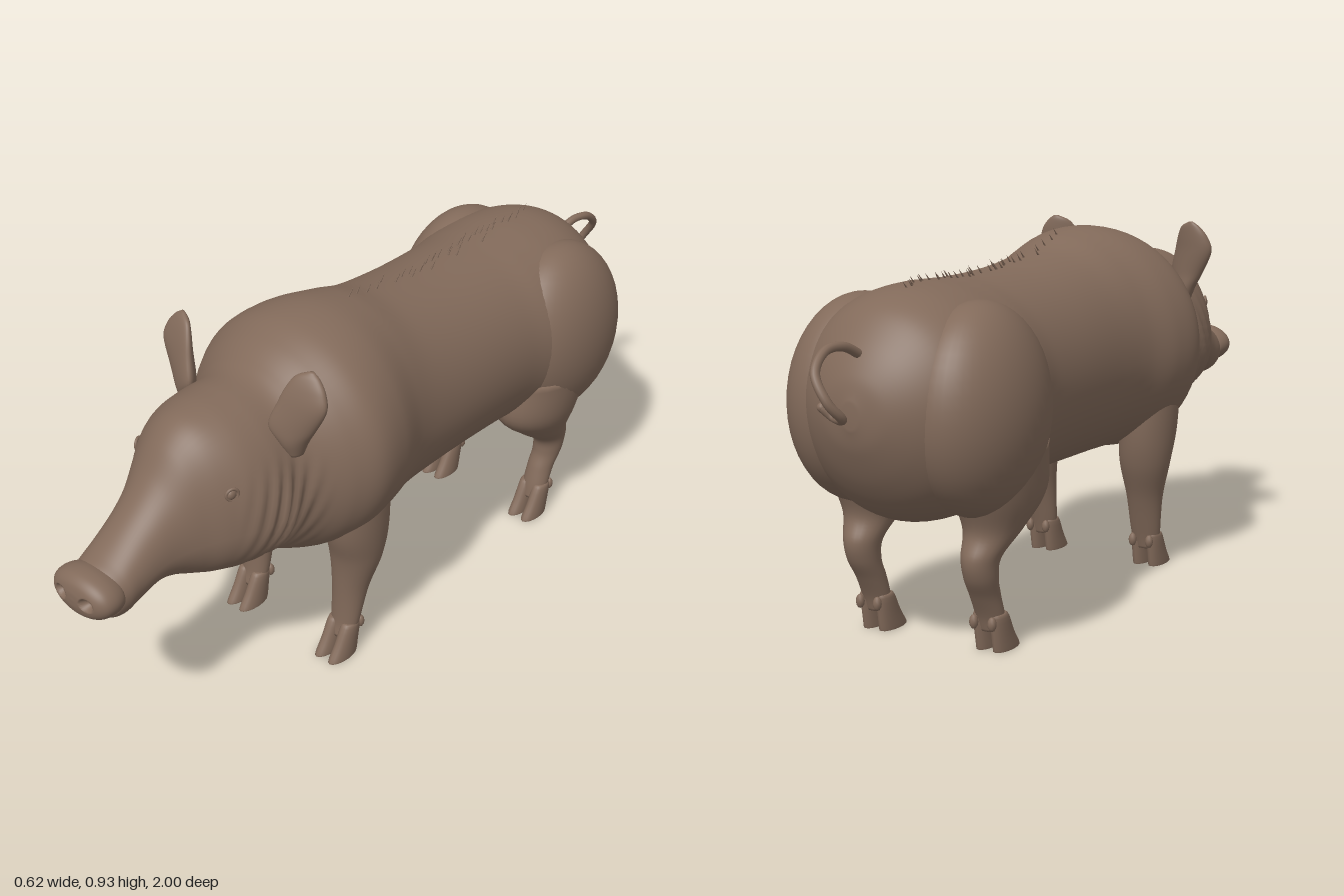
import * as THREE from 'three';

const hide = new THREE.MeshStandardMaterial({ color: 0x826a5a });
hide.name = 'brown hide';

// Smooth skin over elliptical rings. Row: centre x, y, z, then half width,
// and the reach on the plus and minus side of the second axis.
// axis 'z' stacks upright rings front-wards, axis 'y' stacks flat rings downwards.
function loft(rows, axis, steps, sides, rule) {
  const centre = new THREE.CatmullRomCurve3(rows.map(r => new THREE.Vector3(r[0], r[1], r[2])), false, 'catmullrom');
  const radii = new THREE.CatmullRomCurve3(rows.map(r => new THREE.Vector3(r[3], r[4], r[5] ?? r[4])), false, 'catmullrom');
  const pos = [], index = [];
  const add = p => { if (rule) rule(p); pos.push(p.x, p.y, p.z); };
  for (let i = 0; i <= steps; i++) {
    const c = centre.getPoint(i / steps), r = radii.getPoint(i / steps);
    for (let j = 0; j < sides; j++) {
      const a = j / sides * Math.PI * 2, s = Math.sin(a);
      const p = c.clone();
      p.x += r.x * Math.cos(a);
      p[axis === 'z' ? 'y' : 'z'] += s * (s > 0 ? r.y : r.z);
      add(p);
      if (i < steps) {
        const k = (j + 1) % sides, b = i * sides, d = b + sides;
        index.push(b + j, b + k, d + j, b + k, d + k, d + j);
      }
    }
  }
  // end caps
  const n = (steps + 1) * sides;
  add(centre.getPoint(0));
  add(centre.getPoint(1));
  for (let j = 0; j < sides; j++) {
    const k = (j + 1) % sides, b = steps * sides;
    index.push(n, k, j, n + 1, b + j, b + k);
  }
  const g = new THREE.BufferGeometry();
  g.setAttribute('position', new THREE.Float32BufferAttribute(pos, 3));
  g.setIndex(index);
  g.computeVertexNormals();
  return g;
}

function mesh(parent, name, geometry) {
  const m = new THREE.Mesh(geometry, hide);
  m.name = name;
  parent.add(m);
  return m;
}

function ellipsoid(parent, name, x, y, z, rx, ry, rz, detail = 16) {
  const m = mesh(parent, name, new THREE.SphereGeometry(1, detail * 2, detail));
  m.position.set(x, y, z);
  m.scale.set(rx, ry, rz);
  return m;
}

// Cloven hoof with two toes and two dewclaws, below an ankle at (x, z)
function hoof(parent, x, z) {
  for (const s of [-1, 1]) {
    const t = x + s * 0.023;
    mesh(parent, 'toe', loft([
      [t, 0.095, z + 0.005, 0.014, 0.022], [t, 0.085, z + 0.007, 0.02, 0.03],
      [t, 0.04, z + 0.022, 0.021, 0.04], [t, 0.004, z + 0.037, 0.022, 0.05],
      [t, 0, z + 0.037, 0.021, 0.048],
    ], 'y', 12, 16));
    ellipsoid(parent, 'dewclaw', x + s * 0.025, 0.075, z - 0.03, 0.011, 0.018, 0.011, 6);
  }
}

export function createModel() {
  const boar = new THREE.Group();
  boar.name = 'boar';

  // Trunk, neck and head: z, top, bottom, half width, height of widest point
  const profile = [
    [-0.876, 0.63, 0.57, 0.02, 0.6], [-0.86, 0.69, 0.51, 0.09, 0.6], [-0.82, 0.76, 0.43, 0.16, 0.6],
    [-0.76, 0.825, 0.36, 0.22, 0.6], [-0.68, 0.857, 0.32, 0.262, 0.6], [-0.58, 0.866, 0.31, 0.28, 0.6],
    [-0.48, 0.863, 0.32, 0.272, 0.6], [-0.38, 0.86, 0.335, 0.255, 0.6], [-0.2, 0.865, 0.34, 0.25, 0.6],
    [-0.03, 0.885, 0.337, 0.25, 0.6], [0.08, 0.915, 0.335, 0.262, 0.61], [0.18, 0.93, 0.333, 0.295, 0.62],
    [0.27, 0.922, 0.32, 0.306, 0.62], [0.34, 0.895, 0.32, 0.275, 0.61], [0.4, 0.862, 0.338, 0.23, 0.6],
    [0.45, 0.845, 0.365, 0.208, 0.59], [0.52, 0.841, 0.395, 0.212, 0.58], [0.59, 0.836, 0.4, 0.2, 0.575],
    [0.65, 0.82, 0.41, 0.168, 0.57], [0.7, 0.78, 0.428, 0.133, 0.56], [0.75, 0.712, 0.45, 0.108, 0.55],
    [0.8, 0.66, 0.458, 0.095, 0.54], [0.86, 0.612, 0.437, 0.089, 0.52], [0.9, 0.582, 0.424, 0.088, 0.505],
    [0.93, 0.565, 0.43, 0.08, 0.5], [0.945, 0.55, 0.455, 0.06, 0.5],
  ];
  mesh(boar, 'bodyAndHead', loft(
    profile.map(([z, top, bottom, w, y]) => [0, y, z, w, top - y, y - bottom]), 'z', 200, 64,
    p => {
      // shallow jowl wrinkles on the cheeks and throat
      const band = Math.max(0, 1 - Math.abs(p.z - 0.51) / 0.13) * THREE.MathUtils.smoothstep(0.74 - p.y, 0, 0.12);
      p.x *= 1 + 0.03 * band * Math.sin((p.z + 0.35 * p.y) * 150);
    }));

  // Snout disc with two pressed-in nostrils
  mesh(boar, 'snoutDisc', loft([
    [0, 0.51, 0.905, 0.07, 0.045], [0, 0.51, 0.918, 0.088, 0.053], [0, 0.511, 0.945, 0.096, 0.058],
    [0, 0.511, 0.972, 0.091, 0.055], [0, 0.511, 0.99, 0.07, 0.042], [0, 0.511, 0.998, 0.035, 0.022],
    [0, 0.511, 1.0, 0.004, 0.003],
  ], 'z', 60, 64, p => {
    const d = Math.hypot((Math.abs(p.x) - 0.042) / 0.021, (p.y - 0.513) / 0.017);
    if (p.z > 0.95 && d < 1) p.z -= 0.022 * (1 - d * d);
  }));

  for (const s of [1, -1]) {
    const side = new THREE.Group();
    side.name = s > 0 ? 'leftSide' : 'rightSide';
    boar.add(side);

    ellipsoid(side, 'haunch', s * 0.16, 0.585, -0.6, 0.15, 0.25, 0.22, 24);

    mesh(side, 'frontLeg', loft([
      [s * 0.17, 0.55, 0.24, 0.09, 0.1], [s * 0.178, 0.4, 0.235, 0.076, 0.092],
      [s * 0.173, 0.3, 0.23, 0.068, 0.07], [s * 0.166, 0.2, 0.245, 0.05, 0.046],
      [s * 0.162, 0.1, 0.261, 0.042, 0.03], [s * 0.162, 0.05, 0.272, 0.034, 0.027],
    ], 'y', 40, 28));
    hoof(side, s * 0.162, 0.262);

    mesh(side, 'hindLeg', loft([
      [s * 0.17, 0.5, -0.55, 0.115, 0.16], [s * 0.17, 0.38, -0.525, 0.1, 0.14],
      [s * 0.17, 0.3, -0.553, 0.068, 0.085], [s * 0.166, 0.24, -0.602, 0.046, 0.055],
      [s * 0.165, 0.19, -0.603, 0.04, 0.044], [s * 0.162, 0.14, -0.58, 0.037, 0.037],
      [s * 0.162, 0.09, -0.56, 0.037, 0.031], [s * 0.162, 0.05, -0.55, 0.033, 0.028],
    ], 'y', 48, 28));
    hoof(side, s * 0.162, -0.562);

    // Upright leaf-shaped ear, turned outwards and hollowed at the front
    mesh(side, 'ear', loft([
      [s * 0.21, 0.932, 0.425, 0.006, 0.004], [s * 0.206, 0.918, 0.43, 0.03, 0.012],
      [s * 0.208, 0.89, 0.437, 0.049, 0.019], [s * 0.205, 0.85, 0.444, 0.06, 0.024],
      [s * 0.182, 0.79, 0.449, 0.054, 0.028], [s * 0.181, 0.75, 0.448, 0.032, 0.029],
      [s * 0.184, 0.71, 0.445, 0.012, 0.018],
    ], 'y', 36, 32, p => {
      const across = s * p.x - 0.195;
      p.z += -0.3 * across + 2.5 * across * across;
    }));

    ellipsoid(side, 'eye', s * 0.155, 0.683, 0.636, 0.01, 0.014, 0.014, 10);
    const lid = mesh(side, 'eyelid', new THREE.TorusGeometry(0.015, 0.004, 8, 20));
    lid.position.set(s * 0.158, 0.683, 0.637);
    lid.rotation.y = s * 1.15;
  }

  // Curled tail
  const tailPath = new THREE.CatmullRomCurve3([
    [0, 0.725, -0.82], [0.01, 0.755, -0.88], [0.02, 0.752, -0.93], [0.012, 0.71, -0.98],
    [-0.025, 0.65, -0.987], [-0.038, 0.612, -0.955], [0, 0.608, -0.932], [0.025, 0.63, -0.942],
  ].map(p => new THREE.Vector3(...p)));
  mesh(boar, 'tail', new THREE.TubeGeometry(tailPath, 60, 0.011, 10));
  ellipsoid(boar, 'tailTip', 0.025, 0.63, -0.942, 0.011, 0.011, 0.011, 8);

  // Sparse bristles along the spine, leaning back
  let seed = 7;
  const random = () => (seed = (seed * 16807) % 2147483647) / 2147483647;
  const bristle = new THREE.ConeGeometry(0.0035, 0.035, 5);
  const bristles = new THREE.Group();
  bristles.name = 'bristles';
  boar.add(bristles);
  for (let i = 0; i < 42; i++) {
    const z = 0.08 - 0.75 * (i + random()) / 42;
    if (z > -0.12 && i % 2) continue;
    const k = profile.findIndex(r => r[0] > z), a = profile[k - 1], b = profile[k];
    const top = THREE.MathUtils.mapLinear(z, a[0], b[0], a[1], b[1]);
    const m = mesh(bristles, 'bristle', bristle);
    m.position.set((random() - 0.5) * 0.05, top + 0.006, z);
    m.rotation.x = -0.8;
  }
  return boar;
}
